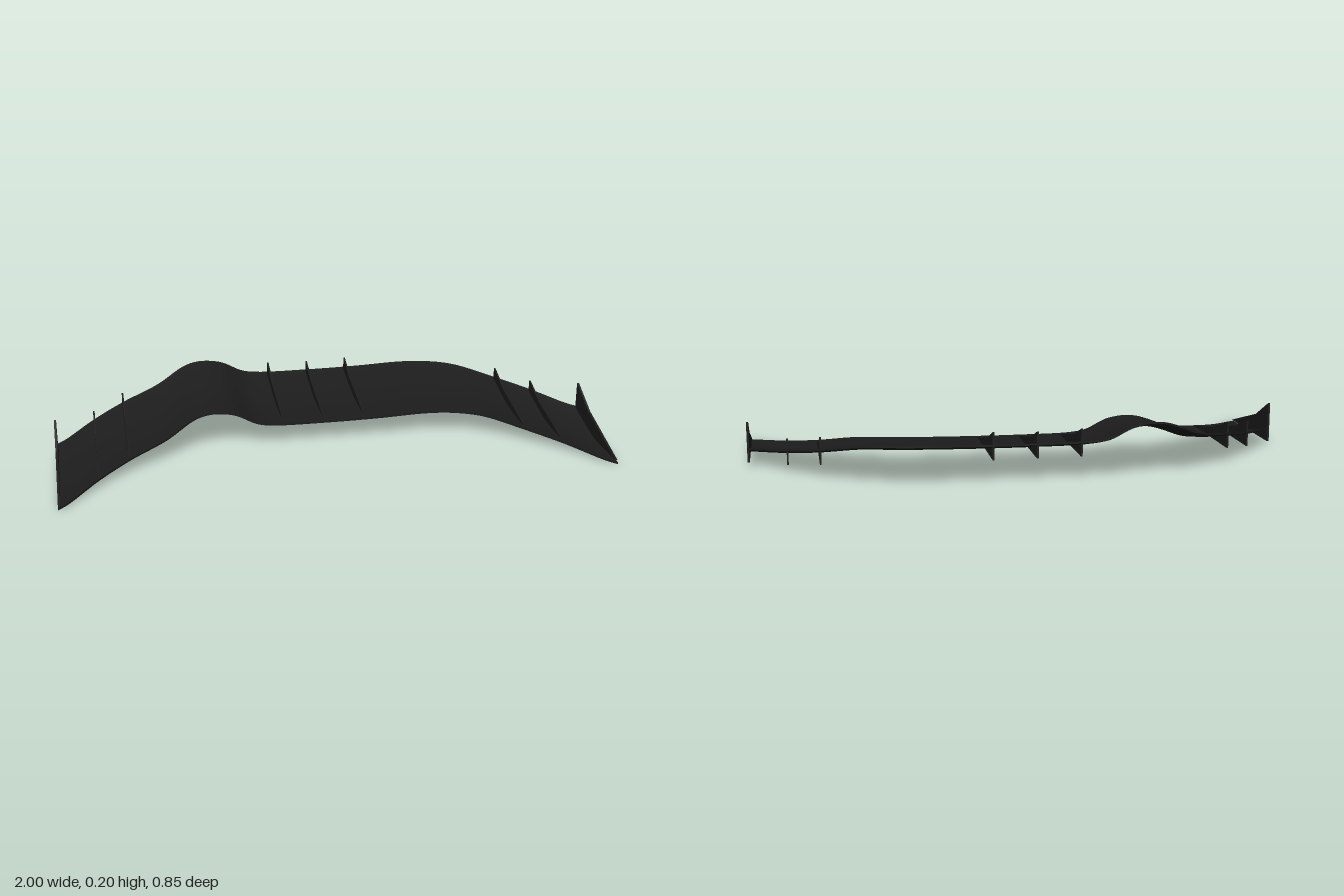
import * as THREE from 'three';

// Leading edge of the blade: x, y, z
const EDGE = [
  [-1, 0.008, 0.422], [-0.965, 0.012, 0.39], [-0.855, 0.033, 0.26], [-0.74, 0.055, 0.155],
  [-0.6, 0.083, 0.06], [-0.5, 0.125, 0], [-0.46, 0.138, -0.008], [-0.41, 0.143, -0.01],
  [-0.34, 0.132, -0.01], [-0.26, 0.094, -0.007], [-0.2, 0.084, -0.005], [0, 0.081, -0.003],
  [0.2, 0.083, -0.003], [0.4, 0.088, -0.005], [0.5, 0.088, 0.012], [0.6, 0.083, 0.055],
  [0.74, 0.055, 0.155], [0.855, 0.033, 0.26], [0.965, 0.012, 0.39], [1, 0.008, 0.422],
];
// Cross-section from front to back: distance back, rise
const SECTION = [[0, 0], [0.05, 0], [0.13, 0.002], [0.21, 0.009], [0.29, 0.026], [0.36, 0.044], [0.4, 0.055], [0.416, 0.061]];
const THICK = 0.007;

// Indexed surface over a grid of points
function gridGeometry(rows) {
  const n = rows[0].length;
  const index = [];
  for (let i = 0; i < rows.length - 1; i++) {
    for (let j = 0; j < n - 1; j++) {
      const a = i * n + j, b = a + n;
      index.push(a, b, a + 1, b, b + 1, a + 1);
    }
  }
  const g = new THREE.BufferGeometry();
  g.setAttribute('position', new THREE.Float32BufferAttribute(rows.flat(2), 3));
  g.setIndex(index);
  g.computeVertexNormals();
  return g;
}

export function createModel() {
  const group = new THREE.Group();
  const black = new THREE.MeshStandardMaterial({ color: 0x1c1c1c });
  black.name = 'satinBlack';

  const add = (name, geometry) => {
    const mesh = new THREE.Mesh(geometry, black);
    mesh.name = name;
    group.add(mesh);
  };

  // Blade: the section swept along the leading edge, one strip per side
  const curve = new THREE.CatmullRomCurve3(EDGE.map(p => new THREE.Vector3(...p)));
  const path = curve.getPoints(152);
  const upper = path.map(p => SECTION.map(([d, r]) => [p.x, p.y + r, p.z - d]));
  const lower = upper.map(row => row.map(([x, y, z]) => [x, y - THICK, z]));
  const last = SECTION.length - 1;
  const rim = (k) => path.map((_, i) => [lower[i][k], upper[i][k]]);
  const end = (i) => [lower[i], upper[i]];
  add('bladeTop', gridGeometry(upper));
  add('bladeUnderside', gridGeometry(lower.map(r => [...r].reverse())));
  add('bladeFrontEdge', gridGeometry(rim(0)));
  add('bladeBackEdge', gridGeometry(rim(last).map(r => r.reverse())));
  add('bladeRightEnd', gridGeometry(end(0).reverse()));
  add('bladeLeftEnd', gridGeometry(end(path.length - 1)));

  // Upright fins: x, base y, front z, back z, height
  const fin = (name, x, y, front, back, height, width = 0.006) => {
    const len = front - back;
    const shape = new THREE.Shape([
      new THREE.Vector2(-front, y), new THREE.Vector2(-back, y),
      new THREE.Vector2(-back, y + height), new THREE.Vector2(-front + len * 0.68, y + height * 0.54),
    ]);
    const g = new THREE.ExtrudeGeometry(shape, { depth: width, bevelEnabled: false });
    g.translate(0, 0, -width / 2);
    g.rotateY(Math.PI / 2);
    g.translate(x, 0, 0);
    add(name, g);
  };
  for (const [side, s] of [['left', 1], ['right', -1]]) {
    fin(side + 'EndFin', s * 0.996, 0.014, 0.415, 0.006, 0.152, 0.008);
    fin(side + 'OuterFin', s * 0.855, 0.035, 0.235, -0.145, 0.097);
    fin(side + 'InnerFin', s * 0.742, 0.056, 0.135, -0.25, 0.1);
    fin(side + 'MiddleFin', s * 0.156, 0.086, -0.04, -0.408, 0.1);
  }
  fin('centreFin', 0, 0.085, -0.04, -0.408, 0.097);

  return group;
}
